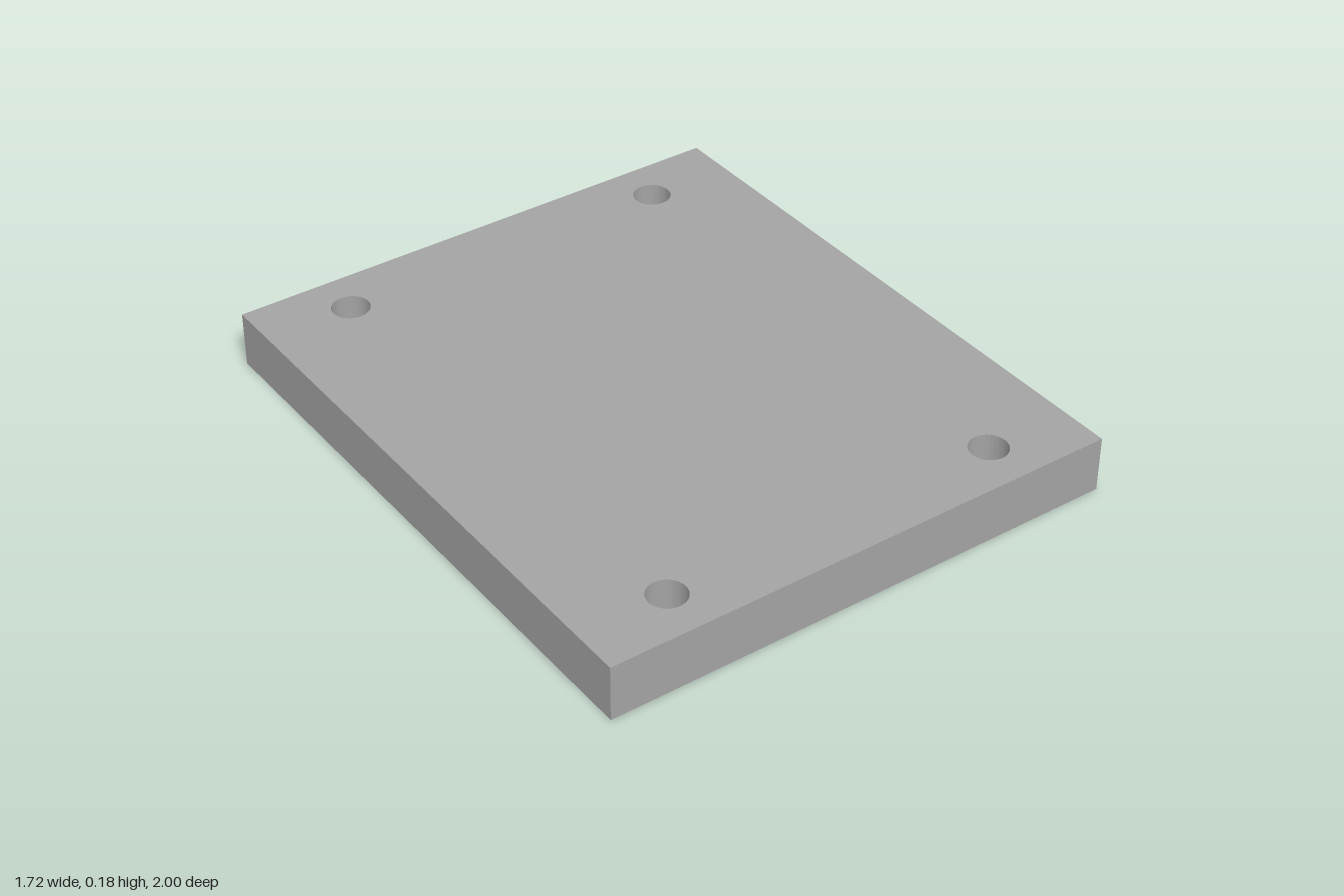
import * as THREE from 'three';
import { toCreasedNormals } from 'three/addons/utils/BufferGeometryUtils.js';

const HALF_WIDTH = 0.862, HALF_DEPTH = 1, THICKNESS = 0.183;
const HOLE_X = 0.568, HOLE_Z = 0.842, HOLE_RADIUS = 0.061;

export function createModel() {
  const group = new THREE.Group();
  group.name = 'mountingPlate';

  // Rectangular outline
  const outline = new THREE.Shape([
    new THREE.Vector2(-HALF_WIDTH, -HALF_DEPTH),
    new THREE.Vector2(HALF_WIDTH, -HALF_DEPTH),
    new THREE.Vector2(HALF_WIDTH, HALF_DEPTH),
    new THREE.Vector2(-HALF_WIDTH, HALF_DEPTH),
  ]);

  // Round through-hole near each corner
  for (const sx of [-1, 1]) {
    for (const sz of [-1, 1]) {
      const hole = new THREE.Path();
      hole.absarc(sx * HOLE_X, sz * HOLE_Z, HOLE_RADIUS, 0, Math.PI * 2, true);
      outline.holes.push(hole);
    }
  }

  // Extrude and lay flat on the ground, with smooth hole walls and sharp edges
  const geometry = new THREE.ExtrudeGeometry(outline, {
    depth: THICKNESS, bevelEnabled: false, curveSegments: 48,
  });
  geometry.rotateX(-Math.PI / 2);

  const plate = new THREE.Mesh(
    toCreasedNormals(geometry, Math.PI / 6),
    new THREE.MeshStandardMaterial({ color: 0xa3a3a3 }),
  );
  plate.name = 'plate';
  group.add(plate);
  return group;
}
